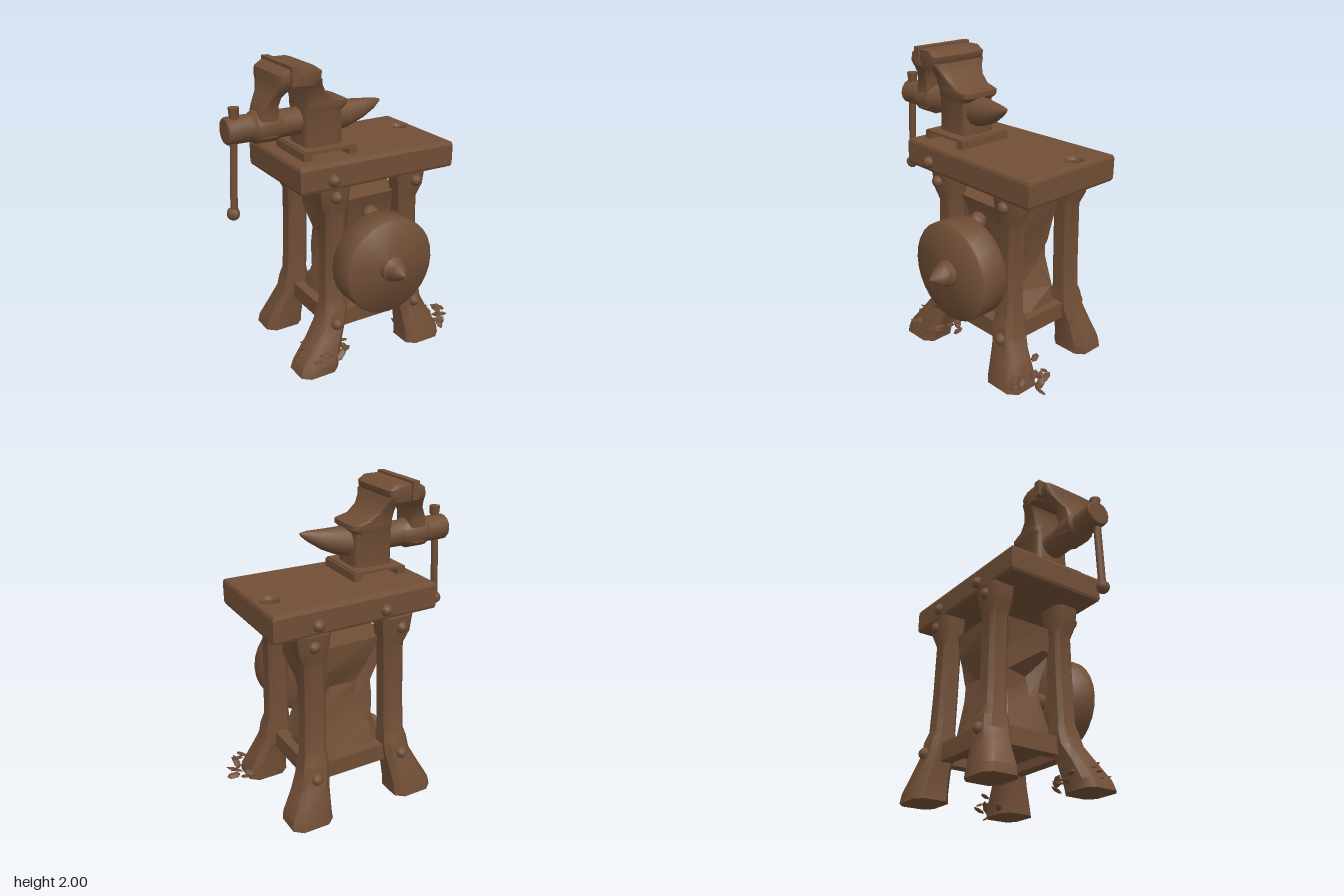
import * as THREE from 'three';
import { toCreasedNormals } from 'three/addons/utils/BufferGeometryUtils.js';

const wood = new THREE.MeshStandardMaterial({ color: 0x704e36 });
wood.name = 'brown';

let seed = 11;
const rand = () => (seed = (seed * 16807) % 2147483647) / 2147483647;

function add(parent, name, geometry, x = 0, y = 0, z = 0) {
  const mesh = new THREE.Mesh(geometry, wood);
  mesh.name = name;
  mesh.position.set(x, y, z);
  parent.add(mesh);
  return mesh;
}

// Stacks closed rings [y, centreX, centreZ, halfX, halfZ]; power < 1 squares them off
function loft(sections, n = 8, power = 0.6, crease = 0.6, pull = () => 1) {
  const pos = [], index = [];
  const round = v => Math.sign(v) * Math.abs(v) ** power;
  sections.forEach(([y, cx, cz, hx, hz], j) => {
    for (let i = 0; i < n; i++) {
      const a = ((i + 0.5) / n) * Math.PI * 2, k = pull(j);
      pos.push(cx + round(Math.cos(a)) * hx * k, y, cz + round(Math.sin(a)) * hz * k);
    }
  });
  const last = sections.length - 1, base = pos.length / 3;
  for (const s of [sections[0], sections[last]]) pos.push(s[1], s[0], s[2]);
  for (let i = 0; i < n; i++) {
    const k = (i + 1) % n;
    for (let j = 0; j < last; j++) {
      const a = j * n + i, b = a + n, c = j * n + k, d = c + n;
      index.push(a, b, c, b, d, c);
    }
    index.push(base, i, k, base + 1, last * n + k, last * n + i);
  }
  const g = new THREE.BufferGeometry();
  g.setAttribute('position', new THREE.Float32BufferAttribute(pos, 3));
  g.setIndex(index);
  return toCreasedNormals(g, crease);
}

// Rows [y, minX, maxX, halfZ] for the blocky vise castings
const casting = rows => loft(rows.map(([y, a, b, hz]) => [y, (a + b) / 2, 0, (b - a) / 2, hz]), 16, 0.3, 0.6);

// Turned profile [radius, distance along the axis]
const turned = (points, sides, crease = 0.6) =>
  toCreasedNormals(new THREE.LatheGeometry(points.map(p => new THREE.Vector2(...p)), sides), crease);

function buildStand(stand) {
  // Thick, slightly uneven bench top with rounded edges and a hole closed from below
  const b = 0.025;
  const corners = [[-0.56, -0.361], [0.556, -0.38], [0.55, 0.362], [-0.56, 0.34]];
  const outline = new THREE.Shape(corners.map(([x, z]) => new THREE.Vector2(x - Math.sign(x) * b, z - Math.sign(z) * b)));
  outline.holes.push(new THREE.Path().absarc(0.455, -0.12, 0.055 + b, 0, Math.PI * 2, true));
  const top = new THREE.ExtrudeGeometry(outline, {
    depth: 0.18 - 2 * b, bevelThickness: b, bevelSize: b, bevelSegments: 2, curveSegments: 10,
  }).rotateX(Math.PI / 2);
  add(stand, 'benchTop', top, 0, 1.42 - b, 0);
  add(stand, 'holeFloor', new THREE.CircleGeometry(0.08, 16).rotateX(Math.PI / 2), 0.455, 1.241, -0.12);

  // Four splayed legs with swollen ankles and heads; each foot turns out by its own amount
  const rows = [
    [0, 0.385, 0.325, 0.145, 0.127], [0.06, 0.38, 0.32, 0.14, 0.122], [0.2, 0.335, 0.298, 0.11, 0.1],
    [0.3, 0.3, 0.275, 0.095, 0.095], [0.38, 0.29, 0.27, 0.09, 0.09], [0.45, 0.285, 0.262, 0.076, 0.072],
    [0.7, 0.28, 0.255, 0.074, 0.07], [1.05, 0.275, 0.25, 0.074, 0.07], [1.13, 0.285, 0.255, 0.1, 0.088],
    [1.25, 0.285, 0.255, 0.115, 0.1],
  ];
  const rivet = new THREE.SphereGeometry(0.04, 9, 6);
  const legs = [[-1, 1, -0.075], [1, 1, -0.015], [-1, -1, 0], [1, -1, -0.025]];
  for (const [sx, sz, shift] of legs) {
    const splay = y => shift * Math.max(0, 1 - y / 0.35);
    const leg = loft(rows.map(([y, x, z, a, c]) => [y, x * sx + splay(y), z * sz - 0.035, a, c]), 8, 0.55, 0.75);
    add(stand, 'leg', leg);
    add(stand, 'legRivet', rivet, 0.3 * sx, 1.18, -0.03 + 0.34 * sz);
    add(stand, 'legRivet', rivet, 0.31 * sx, 0.3, -0.035 + 0.365 * sz);
  }
  for (const [x, z] of [[-0.34, 0.35], [0.27, -0.375], [-0.19, -0.367]]) add(stand, 'benchRivet', rivet, x, 1.31, z);

  // Stretchers between the ankles
  for (const s of [-1, 1]) {
    add(stand, 'longStretcher', new THREE.BoxGeometry(0.56, 0.115, 0.08), 0, 0.298, -0.03 + 0.27 * s);
    add(stand, 'shortStretcher', new THREE.BoxGeometry(0.08, 0.115, 0.5), 0.29 * s, 0.298, -0.03);
  }

  // Crumpled bellows body, pinched at the waist, held between the legs
  const waist = [1, 0.88, 0.72, 0.68, 0.84, 1];
  const folds = [0.3, 0.48, 0.65, 0.78, 0.94, 1.1].map((y, j) => [y, 0, -0.03, 0.275 * waist[j], 0.245 * waist[j]]);
  const crumple = j => (j === 0 || j === 5 ? 1 : 0.78 + 0.42 * rand());
  add(stand, 'bellows', loft(folds, 16, 0.35, 0.5, crumple));

  // Softly shaded grinding wheel
  const wheel = turned([[0, 0.28], [0.3, 0.28], [0.325, 0.3], [0.325, 0.47], [0.315, 0.483], [0, 0.49]], 28, 1.4);
  add(stand, 'grindingWheel', wheel.rotateX(Math.PI / 2), 0, 0.7, 0);

  // Stepped, pointed hub and axle
  const hub = turned([[0.085, 0.48], [0.085, 0.52], [0.065, 0.535], [0.06, 0.575], [0, 0.64]], 12, 0.9);
  add(stand, 'wheelHub', hub.rotateX(Math.PI / 2), 0, 0.7, 0);
  add(stand, 'axle', new THREE.CylinderGeometry(0.06, 0.06, 0.3, 10).rotateX(Math.PI / 2), 0, 0.7, 0.2);
  add(stand, 'wheelBracket', new THREE.SphereGeometry(0.06, 8, 6), 0, 0.98, 0.24);

  // Leaves scattered around the front feet
  for (const [x, z] of [[-0.39, 0.28], [0.43, 0.26]]) {
    for (let i = 0; i < 18; i++) {
      const a = rand() * Math.PI * 2, y = 0.03 + rand() * 0.13, r = 0.18 - y * 0.25;
      const leaf = add(stand, 'leaf', new THREE.SphereGeometry(1, 6, 4),
        x + Math.cos(a) * r, y, z + Math.sin(a) * r * 0.85);
      leaf.scale.set(0.035 + rand() * 0.025, 0.007, 0.025);
      leaf.rotation.set(rand() - 0.5, rand() * 6, rand() - 0.5);
    }
  }
}

function buildVise(vise) {
  // Base plate raised on two rails
  for (const s of [-1, 1]) add(vise, 'baseRail', new THREE.BoxGeometry(0.055, 0.055, 0.38), 0.155 * s, 1.443, 0);
  add(vise, 'basePlate', new THREE.BoxGeometry(0.34, 0.018, 0.38), 0, 1.469, 0);

  // Fixed body sweeping up to its jaw
  add(vise, 'fixedBody', casting([[1.46, -0.13, 0.13, 0.125], [1.69, -0.13, 0.13, 0.125], [1.72, -0.13, 0.16, 0.14],
    [1.75, -0.13, 0.16, 0.14], [1.77, -0.13, 0.07, 0.142], [1.82, -0.13, 0.0, 0.155], [1.87, -0.135, -0.035, 0.18],
    [1.91, -0.15, -0.05, 0.205]]));
  add(vise, 'fixedJaw', casting([[1.88, -0.22, -0.08, 0.2], [1.92, -0.23, -0.05, 0.205],
    [1.955, -0.23, -0.045, 0.205], [1.985, -0.23, -0.09, 0.2]]));

  // Moving jaw with its gripping plate
  add(vise, 'movingJaw', casting([[1.57, -0.41, -0.29, 0.09], [1.7, -0.41, -0.285, 0.09], [1.75, -0.395, -0.285, 0.095],
    [1.81, -0.355, -0.28, 0.125], [1.86, -0.335, -0.24, 0.165], [1.9, -0.33, -0.24, 0.19], [1.95, -0.325, -0.24, 0.19],
    [1.98, -0.28, -0.24, 0.18]]));
  add(vise, 'jawPlate', new THREE.BoxGeometry(0.045, 0.115, 0.415), -0.235, 1.942, 0);

  // Screw housing lying along x
  const screw = turned([[0, -0.6], [0.075, -0.6], [0.083, -0.59], [0.083, -0.44], [0.1, -0.42], [0.1, -0.29],
    [0.085, -0.26], [0.085, -0.1], [0, -0.1]], 14).rotateZ(-Math.PI / 2);
  add(vise, 'screwHousing', screw, 0, 1.625, 0);

  // Hanging turning handle with end knobs
  const rod = add(vise, 'handleRod', new THREE.CylinderGeometry(0.024, 0.024, 0.64, 8), -0.56, 1.43, 0.02);
  rod.rotation.z = -0.05;
  add(vise, 'handleTopKnob', new THREE.CylinderGeometry(0.036, 0.03, 0.06, 8), -0.543, 1.735, 0.02);
  add(vise, 'handleBall', new THREE.SphereGeometry(0.042, 8, 6), -0.58, 1.115, 0.02);

  // Tapered horn, rising to a point
  const horn = loft([[0.1, -1.625, 0.01, 0.098, 0.098], [0.2, -1.632, 0.015, 0.088, 0.085],
    [0.3, -1.652, 0.03, 0.064, 0.062], [0.38, -1.678, 0.045, 0.035, 0.035], [0.425, -1.695, 0.05, 0.01, 0.01]],
  12, 1, 0.8).rotateZ(-Math.PI / 2);
  add(vise, 'horn', horn);
}

export function createModel() {
  const model = new THREE.Group();
  model.name = 'workbench';
  const stand = new THREE.Group(), vise = new THREE.Group();
  stand.name = 'stand';
  stand.position.set(0.145, 0, -0.05);
  stand.rotation.y = -0.11;
  vise.name = 'vise';
  vise.position.set(-0.16, 0, -0.02);
  vise.rotation.y = -0.13;
  buildStand(stand);
  buildVise(vise);
  model.add(stand, vise);
  return model;
}
